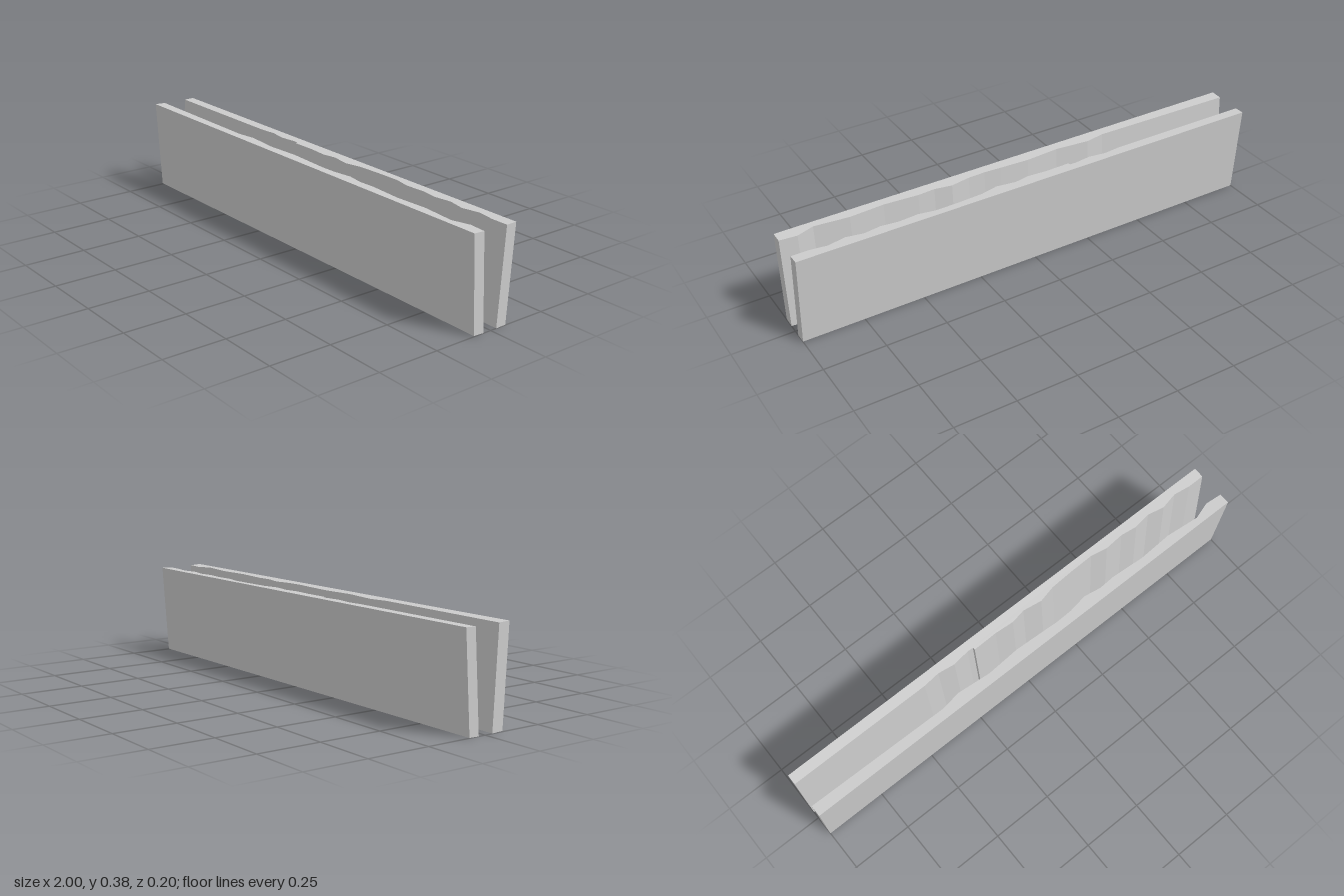
import * as THREE from 'three';

const material = new THREE.MeshStandardMaterial({ color: 0xcccccc, flatShading: true });

// One leaning slab: straight outer face, wavy inner face given as [x, z] at the foot.
function slab(name, outerZ, inner, lean, height, tilt) {
  const shape = new THREE.Shape();
  shape.moveTo(-1, -outerZ);
  inner.forEach(([x, z]) => shape.lineTo(x, -z));
  shape.lineTo(1, -outerZ);
  shape.closePath();

  const geometry = new THREE.ExtrudeGeometry(shape, { depth: height, bevelEnabled: false });
  geometry.rotateX(-Math.PI / 2);

  // Lean the slab outward and tip its top and bottom slightly
  const p = geometry.attributes.position;
  for (let i = 0; i < p.count; i++) {
    const y = p.getY(i), z = p.getZ(i);
    p.setZ(i, z + lean * y);
    p.setY(i, y + tilt * Math.max(0, Math.abs(z) - 0.02));
  }
  geometry.computeVertexNormals();

  const mesh = new THREE.Mesh(geometry, material);
  mesh.name = name;
  return mesh;
}

export function createModel() {
  const group = new THREE.Group();
  group.name = 'splitSlabs';

  // Inner outline of the front slab
  const frontInner = [
    [-1, 0.033], [-0.4, 0.042], [-0.32, 0.029], [-0.18, 0.042], [-0.04, 0.033],
    [0.08, 0.039], [0.15, 0.043], [0.22, 0.041], [0.3, 0.028], [0.37, 0.04],
    [0.44, 0.036], [0.58, 0.046], [0.72, 0.038], [0.86, 0.052], [0.93, 0.029], [1, 0.035],
  ];
  // Inner outline of the back slab, with a small step near the middle
  const backInner = [
    [-1, -0.029], [-0.4, -0.029], [-0.33, -0.036], [-0.26, -0.026], [-0.19, -0.035],
    [-0.165, -0.034], [-0.164, -0.024], [-0.06, -0.026], [0.02, -0.02], [0.08, -0.031],
    [0.16, -0.019], [0.23, -0.035], [0.33, -0.04], [0.43, -0.042], [0.5, -0.029],
    [0.58, -0.035], [0.65, -0.026], [0.72, -0.036], [0.79, -0.022], [0.86, -0.037],
    [0.93, -0.027], [1, -0.027],
  ];

  group.add(slab('frontSlab', 0.08, frontInner, 0.051, 0.376, 0.05));
  group.add(slab('backSlab', -0.071, backInner, -0.067, 0.374, 0.02));
  return group;
}
